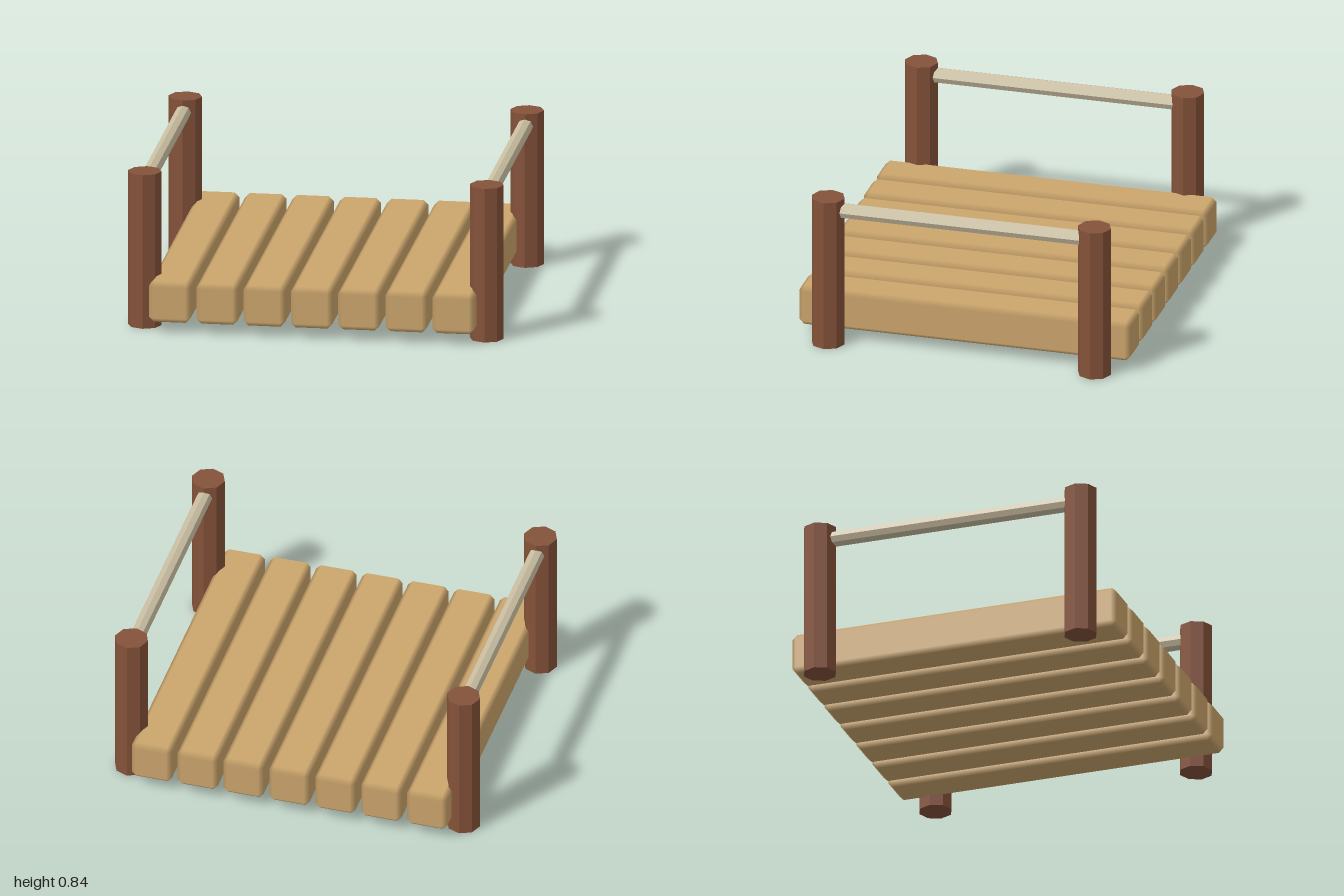
import * as THREE from 'three';
import { ConvexGeometry } from 'three/addons/geometries/ConvexGeometry.js';

// Box with chamfered edges; each flat face keeps its own normal so the chamfers shade softly
function chamferBox(w, h, d, bevel) {
  const half = [w / 2, h / 2, d / 2];
  const points = [];
  for (const sx of [-1, 1]) for (const sy of [-1, 1]) for (const sz of [-1, 1])
    for (let axis = 0; axis < 3; axis++) {
      const p = [sx, sy, sz].map((s, i) => s * (half[i] - (i === axis ? 0 : bevel)));
      points.push(new THREE.Vector3(...p));
    }
  const geometry = new ConvexGeometry(points);
  const pos = geometry.attributes.position;
  const normal = geometry.attributes.normal;
  for (let i = 0; i < pos.count; i++) {
    const p = [pos.getX(i), pos.getY(i), pos.getZ(i)];
    normal.setXYZ(i, ...p.map((v, k) => (Math.abs(v) > half[k] - bevel / 2 ? Math.sign(v) : 0)));
  }
  return geometry;
}

// Eight-sided pole with crisp facets
function pole(radius, length) {
  const geometry = new THREE.CylinderGeometry(radius, radius, length, 8).toNonIndexed();
  geometry.computeVertexNormals();
  return geometry;
}

export function createModel() {
  const model = new THREE.Group();
  model.name = 'plankBridge';

  const plankWood = new THREE.MeshStandardMaterial({ name: 'plankWood', color: 0xcba56c });
  const postWood = new THREE.MeshStandardMaterial({ name: 'postWood', color: 0x84523a });
  const railRope = new THREE.MeshStandardMaterial({ name: 'railRope', color: 0xc9bea1 });

  const add = (name, geometry, material, x, y, z) => {
    const mesh = new THREE.Mesh(geometry, material);
    mesh.name = name;
    mesh.position.set(x, y, z);
    model.add(mesh);
    return mesh;
  };

  // Seven planks running front to back
  const plank = chamferBox(0.22, 0.22, 1.81, 0.025);
  for (let i = -3; i <= 3; i++) add(`plank${i + 4}`, plank, plankWood, i * 0.2515, 0.17, 0);

  // Corner posts and the handrail along each side
  const post = pole(0.09, 0.84);
  const rail = pole(0.042, 1.4);
  for (const side of [1, -1]) {
    const label = side > 0 ? 'left' : 'right';
    add(`${label}FrontPost`, post, postWood, side * 0.91, 0.42, 0.728);
    add(`${label}BackPost`, post, postWood, side * 0.91, 0.42, -0.728);
    add(`${label}Rail`, rail, railRope, side * 0.91, 0.77, 0).rotation.x = Math.PI / 2;
  }
  return model;
}
